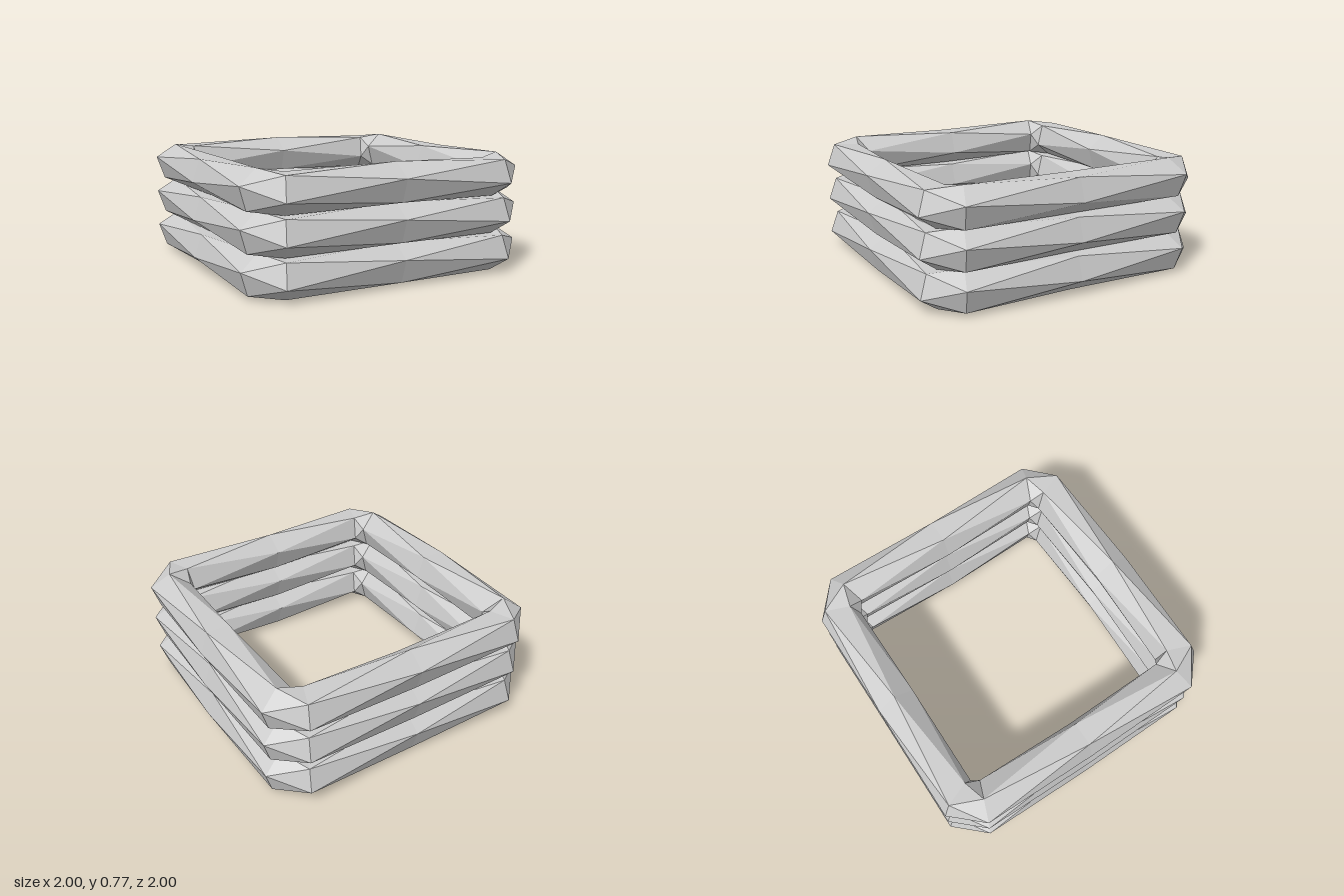
import * as THREE from 'three';

const SIDES = 5, SECTIONS = 12;
const TUBE_R = 0.135;   // pentagon radius
const ARM = 0.872;      // distance of each arm's centre line from the axis
const HALF = 0.75;      // half length of an arm's centre line
const SKEW = 0.39;      // lean of the end sections towards the corner

// One square ring: pentagon sections, each turned half a step from the last
function ringGeometry() {
  const pos = [], index = [];
  for (let k = 0; k < SECTIONS; k++) {
    const o = (k % 3) - 1;                       // start, middle, end of an arm
    const turn = Math.floor(k / 3) * Math.PI / 2;
    const c = Math.round(Math.cos(turn)), s = Math.round(Math.sin(turn));
    const pointUp = k % 2 === 1;
    for (let j = 0; j < SIDES; j++) {
      const a = Math.PI / 2 + (j + (pointUp ? 0 : 0.5)) * 2 * Math.PI / SIDES;
      const out = TUBE_R * Math.cos(a);
      const x = o * (HALF + SKEW * out), z = ARM + out;
      pos.push(x * c + z * s, TUBE_R * Math.sin(a), z * c - x * s);
    }
    // Zigzag band of triangles to the next section
    const shift = pointUp ? 0 : 1, next = (k + 1) % SECTIONS;
    const at = (sec, j) => sec * SIDES + j % SIDES;
    for (let j = 0; j < SIDES; j++) {
      index.push(at(k, j), at(next, j + shift), at(k, j + 1));
      index.push(at(next, j + shift), at(next, j + shift + 1), at(k, j + 1));
    }
  }
  const indexed = new THREE.BufferGeometry();
  indexed.setAttribute('position', new THREE.Float32BufferAttribute(pos, 3));
  indexed.setIndex(index);
  const geo = indexed.toNonIndexed();
  geo.computeVertexNormals();
  return geo;
}

export function createModel() {
  const group = new THREE.Group();
  group.name = 'stackedRings';
  const grey = new THREE.MeshStandardMaterial({ color: 0xcccccc, flatShading: true });
  grey.name = 'light grey';

  // Three identical rings, stacked
  const geo = ringGeometry();
  ['lowerRing', 'middleRing', 'upperRing'].forEach((name, i) => {
    const ring = new THREE.Mesh(geo, grey);
    ring.name = name;
    ring.position.y = TUBE_R + i * 0.25;
    group.add(ring);
  });
  return group;
}
